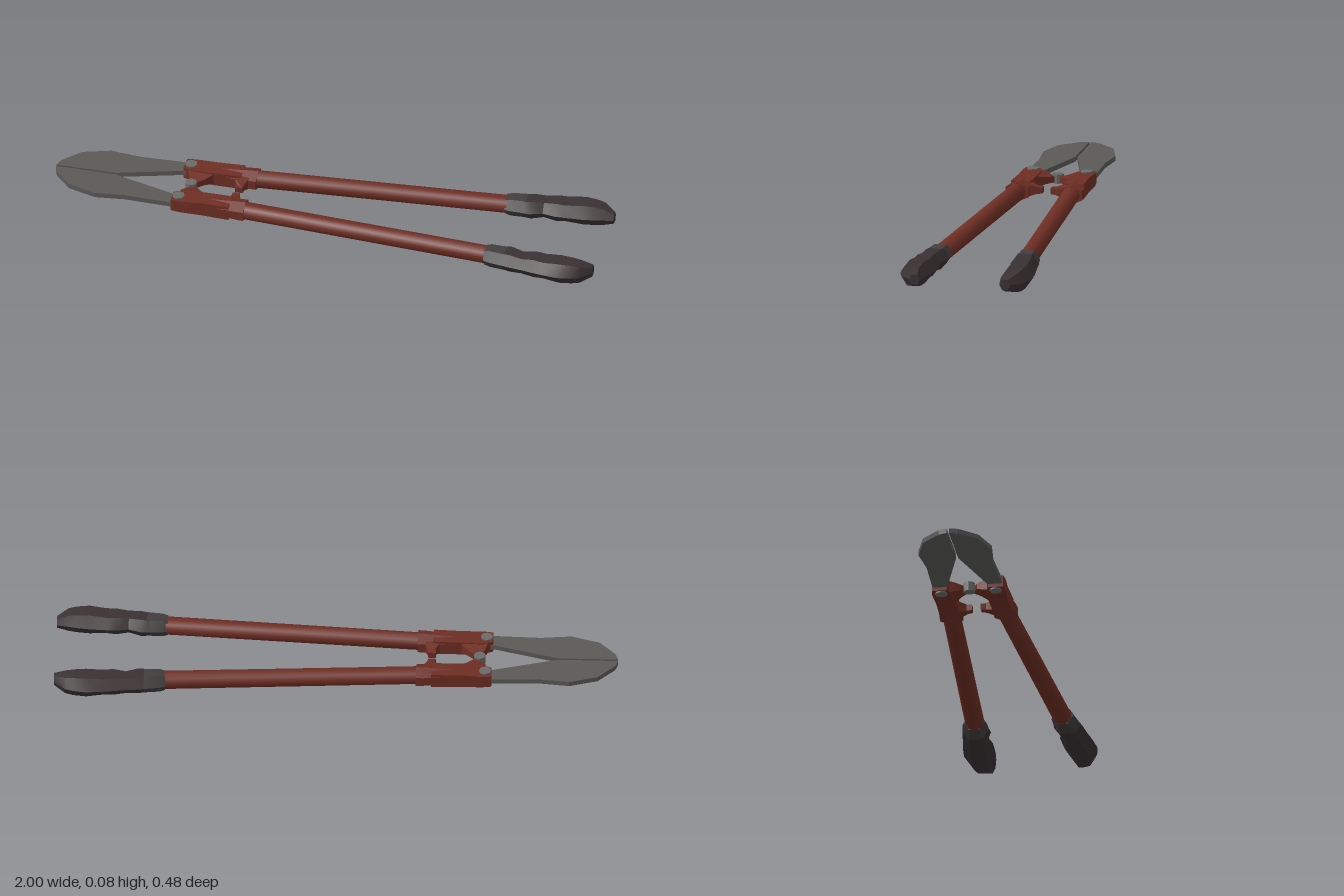
import * as THREE from 'three';
import { toCreasedNormals } from 'three/addons/utils/BufferGeometryUtils.js';

const CY = 0.041; // height of the tool's middle plane

// Skin through n-sided rings along x; each ring is [x, zInner, zOuter, halfHeight]
function loft(rings, n, phase = 0) {
  const angles = Array.from({ length: n }, (_, j) => phase + (j / n) * Math.PI * 2);
  const maxC = Math.max(...angles.map((a) => Math.abs(Math.cos(a))));
  const maxS = Math.max(...angles.map((a) => Math.abs(Math.sin(a))));
  const pos = [], idx = [];
  for (const [x, z0, z1, h] of rings) {
    for (const a of angles) {
      pos.push(x, CY + (h * Math.sin(a)) / maxS, (z0 + z1) / 2 + ((z1 - z0) / 2) * Math.cos(a) / maxC);
    }
  }
  const last = rings.length - 1;
  for (let i = 0; i < last; i++) {
    for (let j = 0; j < n; j++) {
      const k = (j + 1) % n;
      const a = i * n + j, b = i * n + k, c = b + n, d = a + n;
      idx.push(a, d, c, a, c, b);
    }
  }
  for (let j = 1; j < n - 1; j++) {
    idx.push(0, j, j + 1, last * n, last * n + j + 1, last * n + j);
  }
  const g = new THREE.BufferGeometry();
  g.setAttribute('position', new THREE.Float32BufferAttribute(pos, 3));
  g.setIndex(idx);
  return g;
}

// Flat plate from an outline in x and z; halfAt(z) gives half the thickness
function plate(points, halfAt) {
  const shape = new THREE.Shape(points.map(([x, z]) => new THREE.Vector2(x, z)));
  const g = new THREE.ExtrudeGeometry(shape, { depth: 2, bevelEnabled: false });
  g.rotateX(Math.PI / 2).translate(0, 1, 0);
  const p = g.attributes.position;
  for (let i = 0; i < p.count; i++) p.setY(i, CY + p.getY(i) * halfAt(p.getZ(i)));
  return g;
}

// Mirror a geometry through z = 0, keeping faces outward
function mirrored(geometry) {
  const g = geometry.index ? geometry.toNonIndexed() : geometry.clone();
  g.scale(1, 1, -1);
  const p = g.attributes.position, v = new THREE.Vector3(), w = new THREE.Vector3();
  for (let i = 0; i < p.count; i += 3) {
    v.fromBufferAttribute(p, i + 1);
    w.fromBufferAttribute(p, i + 2);
    p.setXYZ(i + 1, w.x, w.y, w.z);
    p.setXYZ(i + 2, v.x, v.y, v.z);
  }
  return g;
}

export function createModel() {
  const mat = (name, color) => {
    const m = new THREE.MeshStandardMaterial({ color });
    m.name = name;
    return m;
  };
  const red = mat('red paint', 0x6e2e24);
  const rubber = mat('dark rubber', 0x3a3132);
  const collarGrey = mat('collar grey', 0x413e3d);
  const steel = mat('blade steel', 0x5a5956);
  const boltSteel = mat('bolt steel', 0x6a6a68);

  const model = new THREE.Group();
  model.name = 'boltCutter';
  const add = (parent, name, geometry, material, crease = 0.4) => {
    const mesh = new THREE.Mesh(toCreasedNormals(geometry, crease), material);
    mesh.name = name;
    parent.add(mesh);
  };

  const parts = [];
  const part = (...p) => parts.push(p);

  // Jaw blade
  part('blade', plate([
    [-1, 0.004], [-0.785, 0.004], [-0.56, 0.07], [-0.5, 0.075], [-0.5, 0.125],
    [-0.56, 0.125], [-0.72, 0.12], [-0.83, 0.132], [-0.93, 0.1], [-0.99, 0.035],
  ], () => 0.009), steel);

  // Bracket body and the faceted socket that holds the handle
  part('bracket', loft([
    [-0.553, 0.075, 0.128, 0.022], [-0.52, 0.062, 0.132, 0.023],
    [-0.44, 0.06, 0.128, 0.026], [-0.34, 0.062, 0.132, 0.027],
  ], 4, Math.PI / 4), red);
  part('socket', loft([
    [-0.42, 0.062, 0.127, 0.026], [-0.31, 0.056, 0.138, 0.034], [-0.285, 0.056, 0.139, 0.035],
  ], 6, Math.PI / 6), red);

  // Pivot arm and stop prong, thinner toward the middle
  const taper = (z) => THREE.MathUtils.mapLinear(THREE.MathUtils.clamp(z, 0.03, 0.065), 0.03, 0.065, 0.011, 0.022);
  part('pivotArm', plate([
    [-0.535, 0.07], [-0.53, 0.05], [-0.522, 0.03], [-0.49, 0.01], [-0.465, 0.035], [-0.44, 0.06], [-0.43, 0.07],
  ], taper), red);
  part('stopProng', plate([
    [-0.37, 0.07], [-0.36, 0.055], [-0.35, 0.035], [-0.352, 0.016], [-0.325, 0.016],
    [-0.322, 0.035], [-0.312, 0.06], [-0.31, 0.07],
  ], taper), red);

  // Blade bolt
  part('bladeBolt', new THREE.CylinderGeometry(0.022, 0.022, 0.056, 8).translate(-0.53, CY, 0.098), boltSteel);

  // Handle tube
  part('handle', loft([
    [-0.3, 0.066, 0.129, 0.03], [0.64, 0.126, 0.193, 0.03],
  ], 12, Math.PI / 12), red, 0.7);

  // Grip collar and finger-shaped grip
  part('gripCollar', loft([
    [0.605, 0.122, 0.197, 0.029], [0.625, 0.116, 0.204, 0.034], [0.68, 0.116, 0.213, 0.034],
  ], 6), collarGrey);
  part('grip', loft([
    [0.67, 0.115, 0.211, 0.033], [0.70, 0.114, 0.217, 0.036], [0.745, 0.129, 0.222, 0.031],
    [0.79, 0.121, 0.229, 0.037], [0.825, 0.122, 0.234, 0.034], [0.885, 0.125, 0.24, 0.04],
    [0.93, 0.131, 0.233, 0.038], [0.96, 0.137, 0.223, 0.034], [1, 0.145, 0.185, 0.019],
  ], 6), rubber);

  for (const side of ['left', 'right']) {
    const half = new THREE.Group();
    half.name = side === 'left' ? 'frontHalf' : 'backHalf';
    for (const [name, geometry, material, crease] of parts) {
      add(half, name, side === 'left' ? geometry : mirrored(geometry), material, crease);
    }
    model.add(half);
  }

  // Central pivot joining both arms
  add(model, 'centrePivot', new THREE.CylinderGeometry(0.021, 0.021, 0.034, 8).translate(-0.508, CY + 0.002, 0), boltSteel);
  return model;
}
